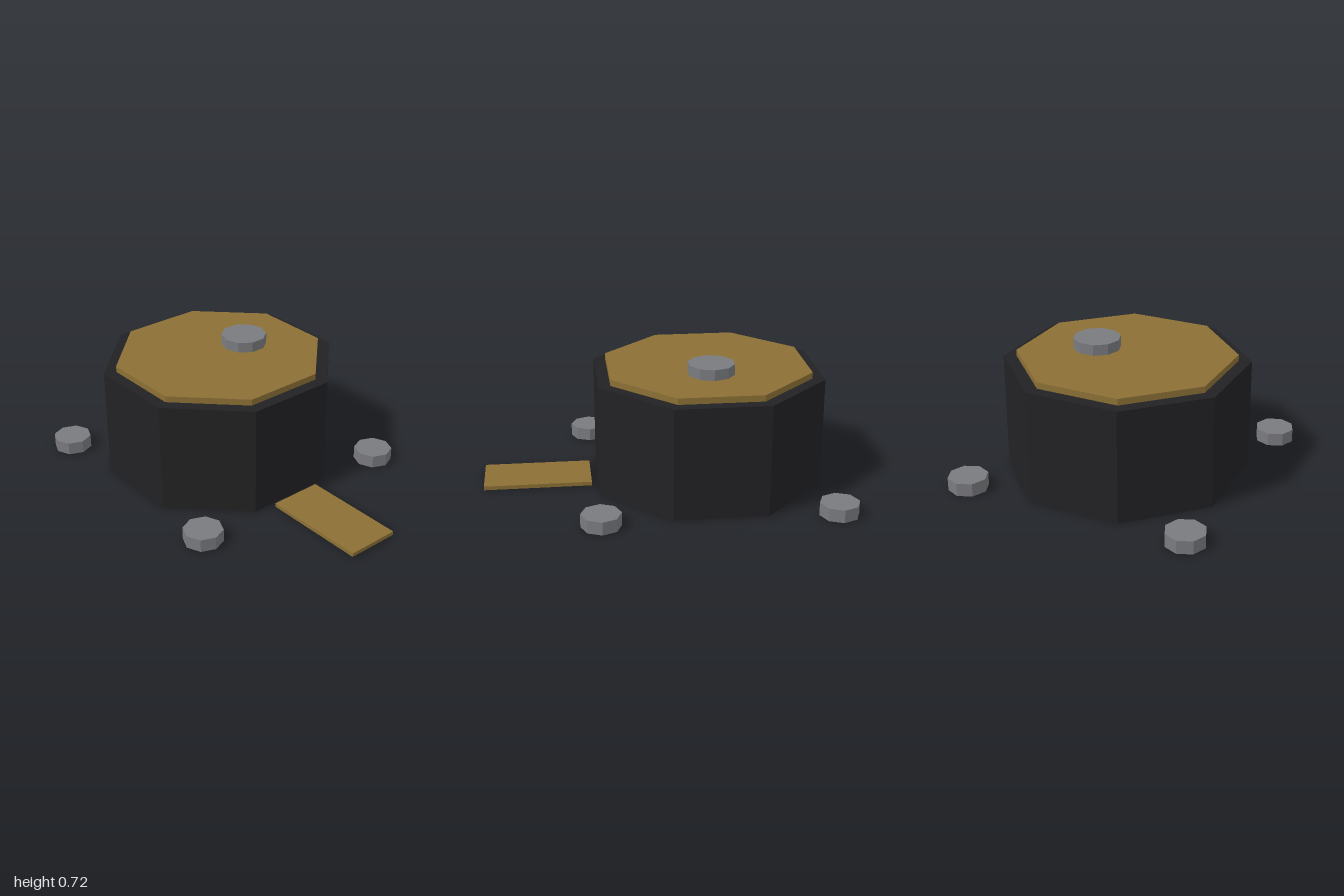
import * as THREE from 'three';

const material = (name, color) => {
  const m = new THREE.MeshStandardMaterial({ color, flatShading: true });
  m.name = name;
  return m;
};

export function createModel() {
  const group = new THREE.Group();
  const black = material('black', 0x222224);
  const brass = material('brass', 0x8c7035);
  const grey = material('grey', 0x7a7b7f);

  // Upright prism with its base at y, turned by a given angle
  const prism = (name, mat, radius, sides, turn, x, y, z, height) => {
    const geometry = new THREE.CylinderGeometry(radius, radius, height, sides);
    geometry.rotateY(turn);
    const mesh = new THREE.Mesh(geometry, mat);
    mesh.name = name;
    mesh.position.set(x, y + height / 2, z);
    group.add(mesh);
  };

  // Octagonal body and lid, flats facing the axes
  const centreZ = -0.26;
  const flat = Math.PI / 8;
  prism('body', black, 0.618 / Math.cos(flat), 8, flat, 0, 0, centreZ, 0.625);
  prism('lid', brass, 0.552 / Math.cos(flat), 8, flat, 0, 0.625, centreZ, 0.035);

  // Ten-sided knob, off centre on the lid
  prism('knob', grey, 0.13, 10, Math.PI / 10, 0.18, 0.66, centreZ, 0.06);

  // Four octagonal studs around the body
  for (const x of [-0.635, 0.635]) {
    for (const z of [-0.891, 0.377]) prism('stud', grey, 0.109, 8, 0, x, 0, z, 0.073);
  }

  // Flat tongue lying in front
  const tongue = new THREE.Mesh(new THREE.BoxGeometry(0.3, 0.022, 0.6), brass);
  tongue.name = 'tongue';
  tongue.position.set(0, 0.019, 0.7);
  group.add(tongue);

  return group;
}
